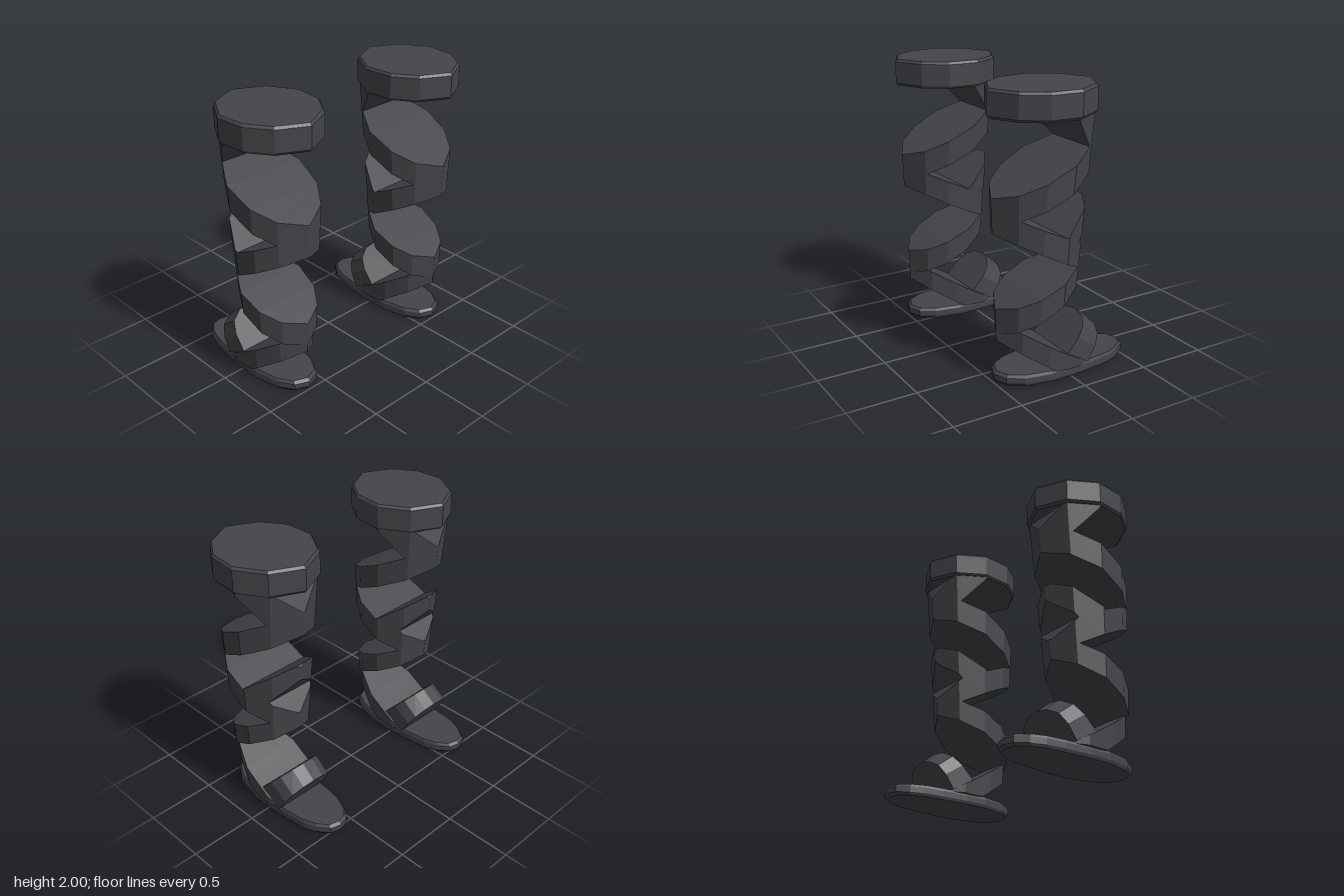
import * as THREE from 'three';

const lerp = THREE.MathUtils.lerp;

// Piecewise-linear lookup in rows sorted by their first column
function sample(rows, k, col) {
  if (k <= rows[0][0]) return rows[0][col];
  for (let i = 1; i < rows.length; i++) {
    const a = rows[i - 1], b = rows[i];
    if (k <= b[0]) return lerp(a[col], b[col], (k - a[0]) / (b[0] - a[0]));
  }
  return rows[rows.length - 1][col];
}

// Leg plan: fraction from back to front, relative half width
const PLAN = [[0, 0.01], [0.13, 0.63], [0.385, 1], [0.66, 0.95], [0.865, 0.63], [1, 0.01]];
const legWidth = (y) => 0.222 + 0.054 * y;
const legFront = (y) => 0.465 + 0.035 * y;
const legBack = (y) => -0.075 - 0.09 * y;

// Skins rings of equal length, counter-clockwise seen from the last ring, and caps both ends
function loft(rings) {
  const pos = [], n = rings[0].length;
  const tri = (a, b, c) => pos.push(...a, ...b, ...c);
  for (let r = 1; r < rings.length; r++) {
    const a = rings[r - 1], b = rings[r];
    for (let i = 0; i < n; i++) {
      const j = (i + 1) % n;
      tri(a[i], a[j], b[j]);
      tri(a[i], b[j], b[i]);
    }
  }
  const first = rings[0], last = rings[rings.length - 1];
  for (let i = 1; i < n - 1; i++) {
    tri(first[0], first[i + 1], first[i]);
    tri(last[0], last[i], last[i + 1]);
  }
  const geo = new THREE.BufferGeometry();
  geo.setAttribute('position', new THREE.Float32BufferAttribute(pos, 3));
  geo.computeVertexNormals();
  return geo;
}

// Slanted slab cut from the leg volume; stations are [z, topY, bottomY] from back to front
function strap(stations, back = legBack) {
  const rows = stations.map(([z, top, bottom]) => {
    const y = (top + bottom) / 2;
    const t = (z - back(y)) / (legFront(y) - back(y));
    return [THREE.MathUtils.clamp(t, 0, 1), top, bottom];
  });
  const t0 = rows[0][0], t1 = rows[rows.length - 1][0];
  const ts = [...rows.map((r) => r[0]), ...PLAN.map((p) => p[0]).filter((t) => t > t0 && t < t1)];
  const unique = [...new Set(ts)].sort((a, b) => a - b);
  return loft(unique.map((t) => {
    const top = sample(rows, t, 1), bottom = sample(rows, t, 2);
    const corner = (side, y) => [side * legWidth(y) * sample(PLAN, t, 1), y, lerp(back(y), legFront(y), t)];
    return [corner(1, top), corner(-1, top), corner(-1, bottom), corner(1, bottom)];
  }));
}

// Flat plate with chamfered rims from a half outline [x, z], listed front to back
function plate(half, y0, y1, bevel, zMid) {
  const inner = half.slice(1, -1).reverse().map(([x, z]) => [-x, z]);
  const outline = [...half, ...inner];
  const ring = (y, s) => outline.map(([x, z]) => [x * s, y, zMid + (z - zMid) * s]);
  return loft([ring(y0, 0.96), ring(y0 + bevel, 1), ring(y1 - bevel, 1), ring(y1, 0.96)]);
}

export function createModel() {
  const leather = new THREE.MeshStandardMaterial({ color: 0x454449, flatShading: true });
  leather.name = 'dark leather';

  // Knee band: ten-sided
  const kneeHalf = [[0, 0.54], [0.205, 0.435], [0.318, 0.27], [0.334, 0.05], [0.215, -0.15], [0, -0.255]];

  // Sole: long oval with the toe towards the back
  const soleHalf = [[0, 0.495], [0.1, 0.455], [0.165, 0.35], [0.205, 0.16], [0.205, 0],
    [0.19, -0.2], [0.172, -0.34], [0.135, -0.44], [0.075, -0.52], [0, -0.54]];

  // Toe strap: arched slab leaning over the foot
  const archHalf = [[0.212, 0], [0.205, 0.45], [0.17, 0.76], [0.09, 0.95]];
  const arch = [...archHalf, [0, 1], ...archHalf.slice().reverse().map(([x, u]) => [-x, u])];
  const archRing = (z, y, dz, dy) => arch.map(([x, u]) => [x, y + u * dy, z + u * dz]);

  const parts = {
    kneeBand: plate(kneeHalf, 1.81, 2, 0.018, 0.14),
    kneeConnector: strap([[-0.22, 1.66, 1.58], [-0.14, 1.815, 1.57], [-0.1, 1.815, 1.6], [0.07, 1.815, 1.805]]),
    upperFrontStrap: strap([[-0.22, 1.65, 1.48], [-0.1, 1.6, 1.41], [0.51, 1.295, 1.12]]),
    upperReturnStrap: strap([[-0.16, 0.83, 0.71], [-0.05, 0.96, 0.78], [0.11, 1.035, 0.86], [0.51, 1.22, 1.055]]),
    calfTab: strap([[-0.185, 1.225, 1.12], [-0.16, 1.235, 1.09], [-0.05, 1.155, 0.95], [0.11, 1.035, 0.98]]),
    lowerFrontStrap: strap([[-0.16, 0.84, 0.7], [-0.06, 0.79, 0.635], [0.49, 0.535, 0.355]]),
    lowerReturnStrap: strap([[-0.13, 0.085, 0.07], [0.04, 0.18, 0.07], [0.13, 0.235, 0.075], [0.49, 0.455, 0.305]], () => -0.35),
    toeStrap: loft([archRing(-0.13, 0.08, -0.14, 0.22), archRing(0.04, 0.18, -0.2, 0.21)]),
    sole: plate(soleHalf, 0, 0.08, 0.02, -0.02),
  };

  const model = new THREE.Group();
  model.name = 'strappedSandals';
  for (const [name, x] of [['leftSandal', 0.64], ['rightSandal', -0.64]]) {
    const sandal = new THREE.Group();
    sandal.name = name;
    sandal.position.x = x;
    for (const [part, geometry] of Object.entries(parts)) {
      const mesh = new THREE.Mesh(geometry, leather);
      mesh.name = part;
      sandal.add(mesh);
    }
    model.add(sandal);
  }
  return model;
}
